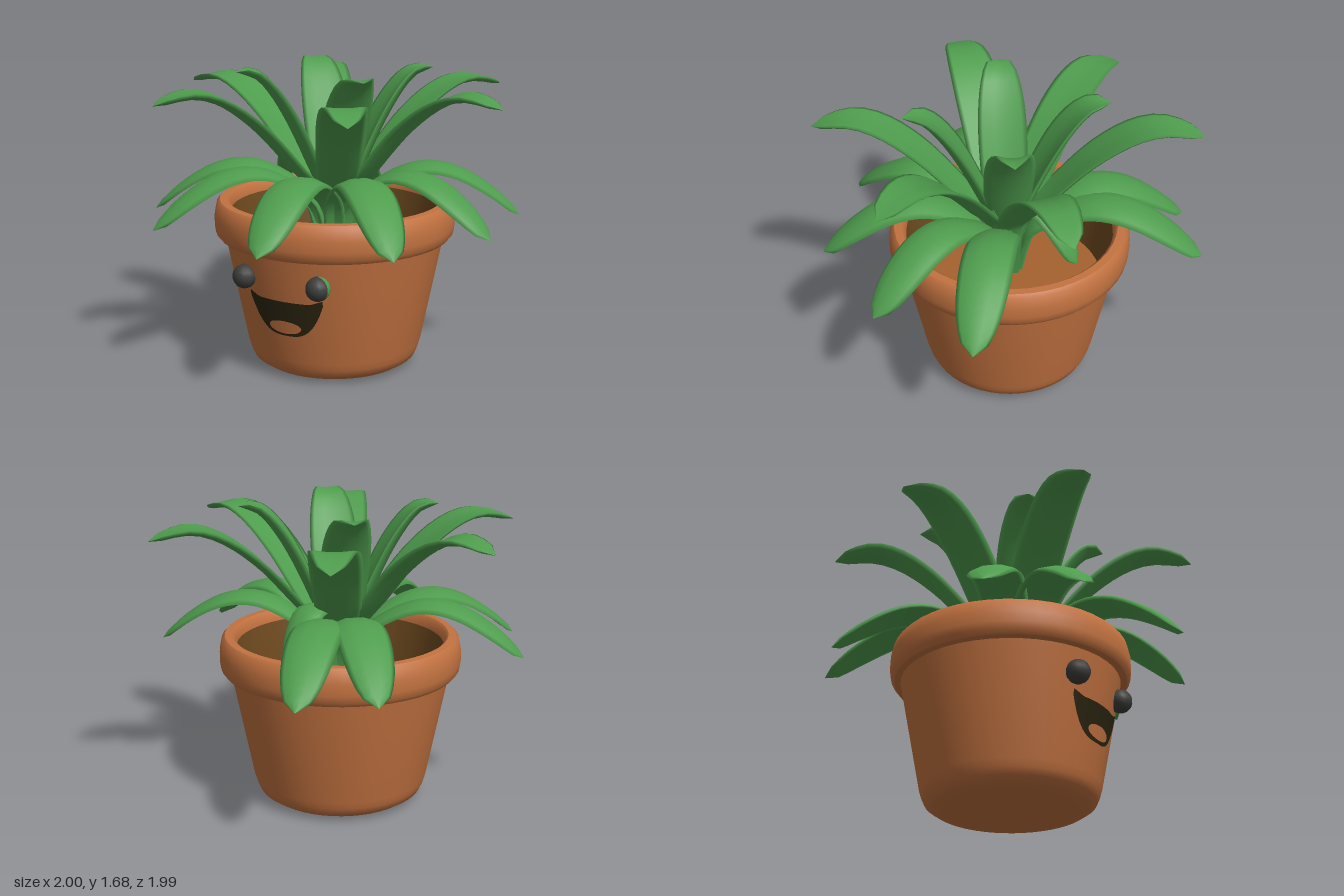
import * as THREE from 'three';
import { toCreasedNormals } from 'three/addons/utils/BufferGeometryUtils.js';

const mat = (name, color, side = THREE.FrontSide) => {
  const m = new THREE.MeshStandardMaterial({ color, side });
  m.name = name;
  return m;
};
const V2 = (p) => new THREE.Vector2(p[0], p[1]);
const POT = -0.015; // pot axis offset in x and z
const wallRadius = (y) => 0.49 + (y - 0.1) * 0.195;

// Arching strap leaf pointing along +x: profile is [radius, height] pairs
function leafGeometry(profile, width, cup) {
  const N = 22, M = 10, pos = [], index = [];
  const curve = new THREE.SplineCurve(profile.map(V2));
  for (let i = 0; i <= N; i++) {
    const t = i / N;
    const c = curve.getPointAt(t), d = curve.getTangentAt(t);
    const body = 0.6 + 0.4 * Math.sin(Math.min(1, t / 0.65) * Math.PI / 2);
    const tip = t < 0.6 ? 1 : Math.sqrt(Math.max(0, 1 - ((t - 0.6) / 0.4) ** 2.4));
    const w = width * body * Math.max(tip, 0.02);
    const thick = 0.02 * Math.max(Math.sqrt(tip), 0.05);
    for (let k = 0; k < M; k++) {
      const a = (k / M) * Math.PI * 2, s = Math.cos(a);
      const h = Math.sin(a) * thick + cup * s * s * w;
      pos.push(c.x - d.y * h, c.y + d.x * h, s * w);
    }
  }
  for (let i = 0; i < N; i++) {
    for (let k = 0; k < M; k++) {
      const a = i * M + k, b = i * M + ((k + 1) % M);
      index.push(a, a + M, b, b, a + M, b + M);
    }
  }
  const g = new THREE.BufferGeometry();
  g.setAttribute('position', new THREE.Float32BufferAttribute(pos, 3));
  g.setIndex(index);
  g.computeVertexNormals();
  return g;
}

// Patch wrapped on the front of the pot wall between two height curves
function wallPatch(x0, x1, bottom, top, lift) {
  const g = new THREE.PlaneGeometry(1, 1, 24, 8);
  const p = g.attributes.position;
  for (let i = 0; i < p.count; i++) {
    const u = p.getX(i) * 2, v = p.getY(i) + 0.5;
    const x = (x0 + x1) / 2 + u * (x1 - x0) / 2;
    const y = bottom(u) + (top(u) - bottom(u)) * v;
    const r = wallRadius(y) + lift;
    p.setXYZ(i, x, y, POT + Math.sqrt(r * r - (x - POT) ** 2));
  }
  g.computeVertexNormals();
  return g;
}

export function createModel() {
  const model = new THREE.Group();
  const clay = mat('terracotta', 0xc27240);
  const inside = mat('dark inner clay', 0x6e4a20);
  const floorClay = mat('inner floor clay', 0xa5622f);
  const green = mat('leaf green', 0x4f9d4e, THREE.DoubleSide);
  const dark = mat('eye charcoal', 0x3d3d3b);
  const mouthDark = mat('mouth dark', 0x2a2410);

  const add = (name, geometry, material, parent = model) => {
    const mesh = new THREE.Mesh(geometry, material);
    mesh.name = name;
    parent.add(mesh);
    return mesh;
  };

  // Pot: outer shell with rolled rim, dark inner wall and floor
  const pot = new THREE.Group();
  pot.name = 'pot';
  pot.position.set(POT, 0, POT);
  model.add(pot);
  const lathe = (pts) => toCreasedNormals(new THREE.LatheGeometry(pts.map(V2), 48), 0.7);
  add('potShell', lathe([
    [0, 0.004], [0.34, 0.006], [0.42, 0.02], [0.465, 0.05], [0.483, 0.09], [0.495, 0.13],
    [0.615, 0.74], [0.65, 0.745], [0.67, 0.77], [0.676, 0.81], [0.676, 0.87], [0.662, 0.935],
    [0.645, 0.953], [0.605, 0.955], [0.588, 0.94], [0.58, 0.89],
  ]), clay, pot);
  add('potInnerWall', lathe([[0.58, 0.89], [0.55, 0.72], [0.53, 0.55]]), inside, pot);
  add('potFloor', lathe([[0.53, 0.55], [0, 0.55]]), floorClay, pot);

  // Face: round eyes, open smiling mouth and tongue
  const eye = (name, x, start, length, material) =>
    add(name, new THREE.SphereGeometry(0.067, 12, 9, start, length), material).position.set(x, 0.6, 0.553);
  eye('rightEye', -0.25, 0, Math.PI * 2, dark);
  eye('leftEye', 0.21, 4.7, Math.PI * 2 - 1.7, dark);
  eye('leftEyeGreenSide', 0.21, 3.0, 1.7, green);
  add('mouth', wallPatch(-0.235, 0.215,
    (u) => 0.29 + 0.2 * Math.abs(u) ** 3.2,
    (u) => 0.495 + 0.025 * Math.max(0, Math.abs(u) - 0.7) / 0.3, 0.006), mouthDark);
  const arc = (u) => Math.sqrt(Math.max(0, 1 - u * u));
  add('tongue', wallPatch(-0.11, 0.09,
    (u) => 0.345 - 0.04 * arc(u), (u) => 0.345 + 0.035 * arc(u), 0.012), clay);

  // Leaves in three tiers, each entry is [heading in degrees, reach, width]
  const tiers = [
    {
      name: 'innerLeaf', cup: 0.35,
      profile: [[0.04, 0.65], [0.07, 0.95], [0.16, 1.17], [0.27, 1.4], [0.37, 1.56], [0.46, 1.65], [0.56, 1.67]],
      leaves: [[45, 0.97, 0.135], [139, 0.97, 0.135], [226, 1, 0.135], [319, 0.98, 0.135]],
    },
    {
      name: 'upperLeaf', cup: 0.2,
      profile: [[0.05, 0.65], [0.11, 0.97], [0.25, 1.15], [0.44, 1.37], [0.63, 1.52], [0.8, 1.575], [1, 1.535]],
      leaves: [[2, 1, 0.14], [57, 1.04, 0.13], [127, 1.03, 0.14], [183, 1, 0.14], [236, 1.05, 0.14], [306, 1.05, 0.13]],
    },
    {
      name: 'lowerLeaf', cup: -0.2,
      profile: [[0.06, 0.65], [0.12, 0.93], [0.27, 1.07], [0.46, 1.145], [0.65, 1.12], [0.84, 1.01], [1, 0.865]],
      leaves: [[7, 1, 0.135], [44, 1.02, 0.135], [83, 1, 0.14], [128, 1.05, 0.14], [156, 1.03, 0.14],
        [223, 1.03, 0.14], [245, 1.1, 0.14], [270, 0.48, 0.1], [333, 1.03, 0.14]],
    },
  ];
  for (const tier of tiers) {
    tier.leaves.forEach(([heading, reach, width], i) => {
      const profile = tier.profile.map(([r, y]) => [r * reach, y]);
      const leaf = add(tier.name + (i + 1), leafGeometry(profile, width, tier.cup), green);
      leaf.rotation.y = -THREE.MathUtils.degToRad(heading);
    });
  }
  return model;
}
